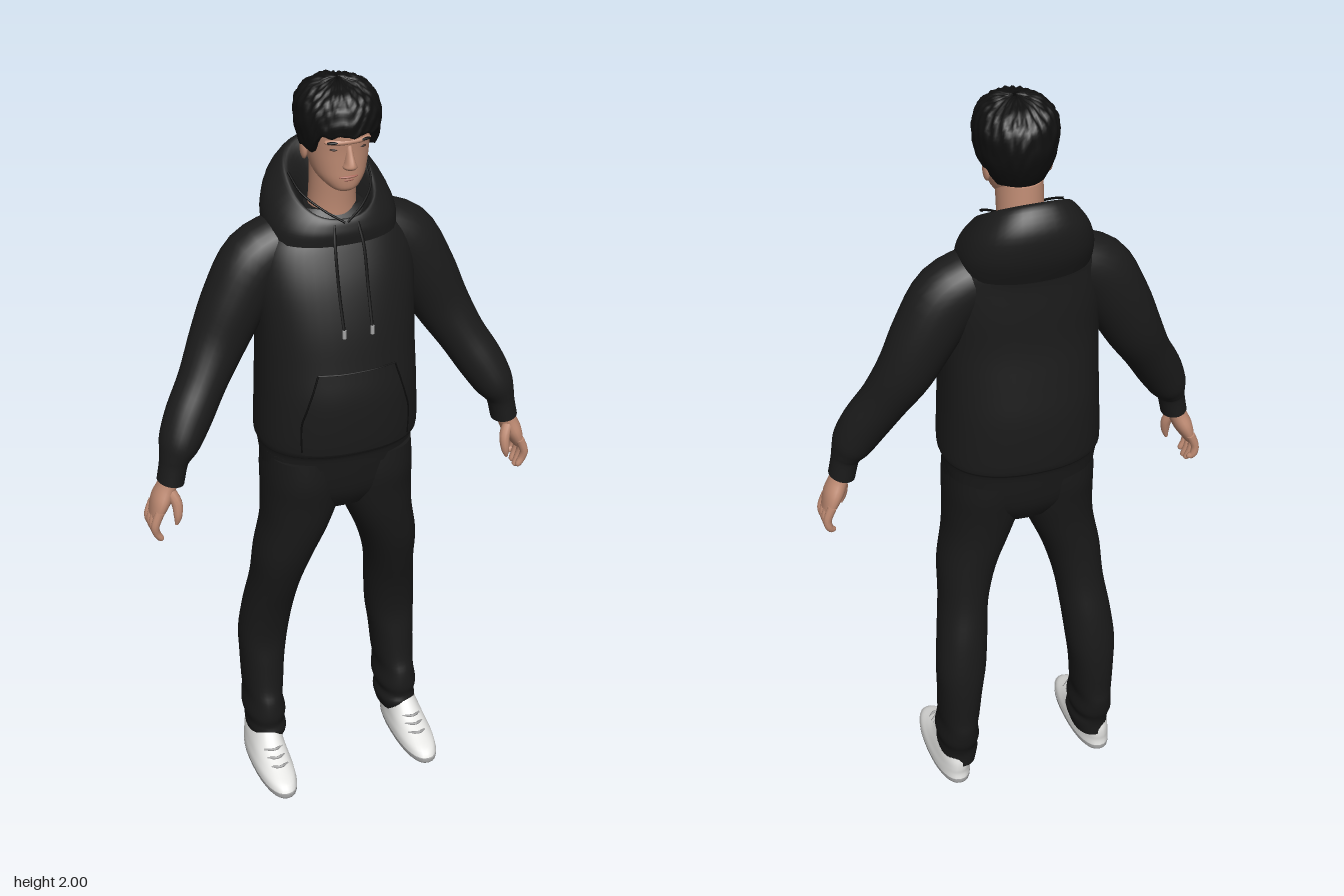
import * as THREE from 'three';

const mat = (name, color, side = THREE.FrontSide) =>
  Object.assign(new THREE.MeshStandardMaterial({ color, side }), { name });

// Surface through rings of points; rings run along the part, each is closed, ends can be capped.
function skin(rings, caps = true) {
  const n = rings[0].length, pos = [], idx = [];
  rings.forEach(r => r.forEach(p => pos.push(p.x, p.y, p.z)));
  for (let j = 0; j < rings.length - 1; j++)
    for (let i = 0; i < n; i++) {
      const a = j * n + i, b = j * n + (i + 1) % n;
      idx.push(a, a + n, b, b, a + n, b + n);
    }
  if (caps) [rings[0], rings[rings.length - 1]].forEach((r, end) => {
    const c = r.reduce((s, p) => s.add(p), new THREE.Vector3()).divideScalar(n);
    const base = pos.length / 3;
    [...r, c].forEach(p => pos.push(p.x, p.y, p.z));
    for (let i = 0; i < n; i++) {
      const a = base + i, b = base + (i + 1) % n;
      end ? idx.push(a, base + n, b) : idx.push(a, b, base + n);
    }
  });
  const g = new THREE.BufferGeometry();
  g.setAttribute('position', new THREE.Float32BufferAttribute(pos, 3));
  g.setIndex(idx);
  g.computeVertexNormals();
  return g;
}

// Smooth interpolation of stations [x, y, z, rx, rz, tilt]
function stationAt(st, t) {
  const f = Math.min(t, 0.99999) * (st.length - 1), i = Math.floor(f), w = f - i;
  const at = k => st[Math.max(0, Math.min(st.length - 1, k))];
  return st[0].map((_, k) => {
    const [a, b, c, d] = [at(i - 1)[k], at(i)[k], at(i + 1)[k], at(i + 2)[k]];
    return b + 0.5 * w * (c - a + w * (2 * a - 5 * b + 4 * c - d + w * (3 * (b - c) + d - a)));
  });
}

const spow = (v, e) => Math.sign(v) * Math.abs(v) ** e;

// Loft: level rings stacked upwards, or rings square to the path when "square" is set
function loft(st, { p = 2, n = 32, sub = 4, square = false, caps = true } = {}) {
  const count = (st.length - 1) * sub, rings = [];
  for (let j = 0; j <= count; j++) {
    const t = j / count, [x, y, z, rx, rz, tilt = 0] = stationAt(st, t);
    const U = new THREE.Vector3(1, 0, 0), V = new THREE.Vector3(0, 0, 1);
    if (square) {
      const A = stationAt(st, Math.max(0, t - 0.03)), B = stationAt(st, Math.min(1, t + 0.03));
      const T = new THREE.Vector3(B[0] - A[0], B[1] - A[1], B[2] - A[2]).normalize();
      V.addScaledVector(T, -T.z).normalize();
      U.crossVectors(T, V);
    }
    rings.push(Array.from({ length: n }, (_, i) => {
      const a = i / n * Math.PI * 2, s = spow(Math.sin(a), 2 / p);
      return new THREE.Vector3(x, y - tilt * s, z)
        .addScaledVector(U, rx * spow(Math.cos(a), 2 / p)).addScaledVector(V, rz * s);
    }));
  }
  return skin(rings, caps);
}

const tube = (pts, r, seg = 24) => new THREE.TubeGeometry(
  new THREE.CatmullRomCurve3(pts.map(p => new THREE.Vector3(...p))), seg, r, 6);

const ball = (x, y, z, sx, sy, sz) => new THREE.SphereGeometry(1, 20, 14).scale(sx, sy, sz).translate(x, y, z);

function mirrored(g) {
  const m = g.clone().scale(-1, 1, 1), ix = m.index.array;
  for (let i = 0; i < ix.length; i += 3) [ix[i], ix[i + 1]] = [ix[i + 1], ix[i]];
  m.computeVertexNormals();
  return m;
}

export function createModel() {
  const model = new THREE.Group();
  model.name = 'standingMan';
  const hoodieM = mat('hoodieBlack', 0x1b1b1b, THREE.DoubleSide), trouserM = mat('trouserBlack', 0x191919);
  const seamM = mat('seamBlack', 0x0c0c0c), hairM = mat('hairBlack', 0x101010, THREE.DoubleSide);
  const skinM = mat('skin', 0xc08c74), lipM = mat('lips', 0xa8685a), eyeM = mat('eyeDark', 0x3a2a24);
  const shoeM = mat('shoeWhite', 0xe6e6e4), soleM = mat('soleGrey', 0xa8a8a8);

  const add = (name, geo, m) => {
    const mesh = new THREE.Mesh(geo, m);
    mesh.name = name;
    model.add(mesh);
  };
  const pair = (name, geo, m) => {
    add(name + 'Left', geo, m);
    add(name + 'Right', mirrored(geo), m);
  };

  // Hoodie body with ribbed hem
  const torso = [
    [0, 1.0, -0.008, 0.195, 0.142], [0, 1.045, -0.008, 0.201, 0.152], [0, 1.07, -0.002, 0.208, 0.17],
    [0, 1.2, -0.002, 0.203, 0.177], [0, 1.3, -0.004, 0.2, 0.165], [0, 1.4, -0.007, 0.2, 0.15],
    [0, 1.5, -0.02, 0.203, 0.135], [0, 1.58, -0.035, 0.19, 0.117], [0, 1.63, -0.05, 0.15, 0.105],
    [0, 1.67, -0.05, 0.09, 0.075]];
  add('hoodieBody', loft(torso, { p: 2.3, n: 48 }), hoodieM);
  const frontZ = (x, y) => {
    let lo = 0, hi = 1;
    for (let k = 0; k < 25; k++) stationAt(torso, (lo + hi) / 2)[1] < y ? lo = (lo + hi) / 2 : hi = (lo + hi) / 2;
    const [, , z, rx, rz] = stationAt(torso, lo);
    return z + rz * (1 - Math.abs(x / rx) ** 2.3) ** (1 / 2.3);
  };

  // Front pocket, laid over the belly, with stitched edge
  const pocketHalf = y => 0.1 + 0.04 * Math.min(1, Math.max(0, (1.295 - y) / 0.13));
  const pocket = new THREE.PlaneGeometry(2, 0.225, 24, 16), pp = pocket.attributes.position;
  for (let i = 0; i < pp.count; i++) {
    const y = pp.getY(i) + 1.183, x = pp.getX(i) * pocketHalf(y);
    pp.setXYZ(i, x, y, frontZ(x, y) + 0.006);
  }
  pocket.computeVertexNormals();
  add('frontPocket', pocket, hoodieM);
  const seamPt = (x, y) => [x, y, frontZ(x, y) + 0.006];
  add('pocketTopSeam', tube([-0.1, -0.05, 0, 0.05, 0.1].map(x => seamPt(x, 1.295)), 0.002), seamM);
  pair('pocketSideSeam', tube([1.295, 1.25, 1.2, 1.16, 1.08].map(y => seamPt(pocketHalf(y), y)), 0.0025), seamM);

  // Hood resting on the shoulders, open at the neck
  add('hood', loft([
    [0, 1.6, -0.04, 0.165, 0.125, 0], [0, 1.645, -0.052, 0.164, 0.138, 0.02],
    [0, 1.69, -0.056, 0.148, 0.138, 0.047], [0, 1.722, -0.045, 0.12, 0.122, 0.066],
    [0, 1.728, -0.035, 0.102, 0.105, 0.066], [0, 1.7, -0.025, 0.085, 0.085, 0.05],
    [0, 1.65, -0.025, 0.06, 0.06, 0.01]], { p: 2.3, n: 40, caps: false }), hoodieM);
  pair('hoodEdgeSeam', tube([[0.003, 1.655, 0.078], [0.05, 1.685, 0.055], [0.088, 1.715, 0.01], [0.1, 1.745, -0.05]], 0.003), seamM);

  // Drawstrings with tips
  pair('drawstring', tube([[0.03, 1.652, 0.075], [0.036, 1.6, 0.1],
    [0.037, 1.5, frontZ(0.037, 1.5) + 0.015], [0.036, 1.41, 0.16]], 0.004), seamM);
  pair('drawstringTip', new THREE.CylinderGeometry(0.005, 0.005, 0.022, 8).translate(0.036, 1.403, 0.161), soleM);

  // Sleeves with gathered cuffs
  pair('sleeve', loft([
    [0.1, 1.585, -0.045, 0.07, 0.075], [0.185, 1.535, -0.042, 0.088, 0.08], [0.245, 1.44, -0.038, 0.083, 0.078],
    [0.295, 1.34, -0.03, 0.073, 0.07], [0.345, 1.25, -0.005, 0.062, 0.062], [0.39, 1.175, 0.02, 0.06, 0.06],
    [0.422, 1.115, 0.037, 0.052, 0.058], [0.437, 1.082, 0.043, 0.04, 0.048], [0.443, 1.06, 0.045, 0.035, 0.042],
    [0.453, 1.012, 0.047, 0.034, 0.041]], { square: true, n: 28 }), hoodieM);

  // Hands
  pair('palm', loft([[0.448, 1.04, 0.046, 0.022, 0.028], [0.462, 1.0, 0.045, 0.024, 0.031],
    [0.48, 0.96, 0.043, 0.024, 0.04], [0.497, 0.918, 0.042, 0.014, 0.037]], { square: true, n: 20 }), skinM);
  [0.865, 0.85, 0.846, 0.856].forEach((tip, i) => {
    const z = 0.01 + i * 0.0215;
    pair('finger' + (i + 1), loft([[0.491, 0.94, z, 0.012, 0.011], [0.505, 0.905, z, 0.011, 0.0105],
      [0.502, 0.88, z * 0.95, 0.01, 0.01], [0.491, tip + 0.005, z * 0.9 + 0.004, 0.008, 0.008],
      [0.488, tip, z * 0.9 + 0.004, 0.003, 0.003]], { square: true, n: 10 }), skinM);
  });
  pair('thumb', loft([[0.462, 0.995, 0.06, 0.014, 0.014], [0.447, 0.96, 0.073, 0.014, 0.014],
    [0.447, 0.925, 0.08, 0.011, 0.011], [0.452, 0.9, 0.08, 0.004, 0.004]], { square: true, n: 10 }), skinM);

  // Trousers
  add('trouserHips', loft([[0, 0.86, 0, 0.1, 0.09], [0, 0.92, 0, 0.185, 0.12], [0, 1.03, 0, 0.197, 0.133]], { p: 2.4 }), trouserM);
  pair('trouserLeg', loft([
    [0.195, 0.065, -0.047, 0.046, 0.073], [0.193, 0.1, -0.04, 0.053, 0.08], [0.196, 0.125, -0.046, 0.05, 0.08],
    [0.195, 0.155, -0.05, 0.056, 0.088], [0.195, 0.2, -0.057, 0.05, 0.088], [0.193, 0.24, -0.062, 0.054, 0.08],
    [0.19, 0.32, -0.068, 0.059, 0.076], [0.185, 0.4, -0.069, 0.066, 0.071], [0.175, 0.5, -0.052, 0.066, 0.074],
    [0.162, 0.6, -0.025, 0.065, 0.081], [0.145, 0.7, -0.005, 0.076, 0.093], [0.115, 0.8, 0.004, 0.088, 0.105],
    [0.1, 0.88, 0.004, 0.099, 0.115], [0.1, 0.95, 0.003, 0.098, 0.125], [0.1, 1.02, 0, 0.094, 0.124]], { p: 2.2 }), trouserM);

  // Shoes
  pair('shoeSole', loft([[0.207, 0, 0.037, 0.045, 0.15], [0.207, 0.008, 0.037, 0.051, 0.158],
    [0.207, 0.02, 0.037, 0.052, 0.159]], { p: 2.3 }), soleM);
  pair('shoeUpper', loft([[0.207, 0.014, 0.037, 0.0515, 0.158], [0.207, 0.035, 0.03, 0.051, 0.148],
    [0.206, 0.055, 0.005, 0.047, 0.125], [0.204, 0.08, -0.022, 0.043, 0.097],
    [0.2, 0.115, -0.038, 0.036, 0.072]], { p: 2.3 }), shoeM);
  [[0.12, 0.058], [0.094, 0.069], [0.072, 0.081]].forEach(([z, y], i) => pair('lace' + (i + 1),
    tube([[0.18, y - 0.004, z - 0.012], [0.206, y + 0.003, z + 0.004], [0.23, y - 0.004, z - 0.012]], 0.004, 8), soleM));

  // Neck and head
  add('neck', loft([[0, 1.62, -0.03, 0.066, 0.065], [0, 1.69, -0.022, 0.057, 0.06], [0, 1.8, -0.01, 0.057, 0.065]]), skinM);
  add('head', loft([[0, 1.738, 0.062, 0.02, 0.018], [0, 1.747, 0.048, 0.037, 0.042], [0, 1.77, 0.025, 0.058, 0.069],
    [0, 1.8, 0.014, 0.068, 0.081], [0, 1.84, 0.008, 0.074, 0.089], [0, 1.89, 0.007, 0.077, 0.094],
    [0, 1.94, 0.005, 0.072, 0.085], [0, 1.975, 0.005, 0.04, 0.05]], { p: 2.2 }), skinM);
  add('nose', loft([[0, 1.799, 0.09, 0.011, 0.014], [0, 1.807, 0.098, 0.017, 0.022], [0, 1.818, 0.098, 0.013, 0.023],
    [0, 1.84, 0.092, 0.009, 0.017], [0, 1.862, 0.088, 0.008, 0.01]], { n: 16 }), skinM);
  add('browRidge', ball(0, 1.868, 0.082, 0.058, 0.011, 0.02), skinM);
  add('upperLip', ball(0, 1.779, 0.09, 0.024, 0.004, 0.008), lipM);
  add('lowerLip', ball(0, 1.771, 0.086, 0.02, 0.005, 0.009), lipM);
  add('chin', ball(0, 1.751, 0.072, 0.025, 0.013, 0.018), skinM);
  pair('eye', ball(0.031, 1.85, 0.084, 0.014, 0.004, 0.009), eyeM);
  pair('eyebrow', ball(0.033, 1.869, 0.091, 0.021, 0.004, 0.008), hairM);
  pair('ear', ball(0.077, 1.828, -0.003, 0.009, 0.03, 0.017), skinM);

  // Short curly hair, lower at the nape and raised over the brow
  const step = THREE.MathUtils.smoothstep, n = 96, rows = 26, hair = [];
  for (let j = -1; j <= rows; j++) {
    const v = Math.max(0, j) / rows;
    hair.push(Array.from({ length: n }, (_, i) => {
      const a = i / n * Math.PI * 2, s = Math.sin(a);
      const low = 1.842 + 0.05 * step(s, 0.4, 0.8) - 0.065 * step(-s, 0.1, 0.7) + 0.004 * Math.sin(11 * a);
      const y = low + (1.995 - low) * Math.sin(v * Math.PI / 2), t = (y - 1.91) / 0.085;
      const curl = 1 + 0.022 * Math.sin(13 * a + 9 * v) * Math.sin(17 * v + 3 * Math.sin(5 * a)) + 0.012 * Math.sin(23 * a - 14 * v);
      const r = (t > 0 ? Math.max(0, 1 - t ** 2.4) ** 0.45 : 1 - 0.18 * t * t) * curl * (j < 0 ? 0.7 : 1);
      return new THREE.Vector3(0.101 * r * Math.cos(a), y + (curl - 1) * 0.12, 0.013 + 0.117 * r * s);
    }));
  }
  add('hair', skin(hair, false), hairM);

  return model;
}
